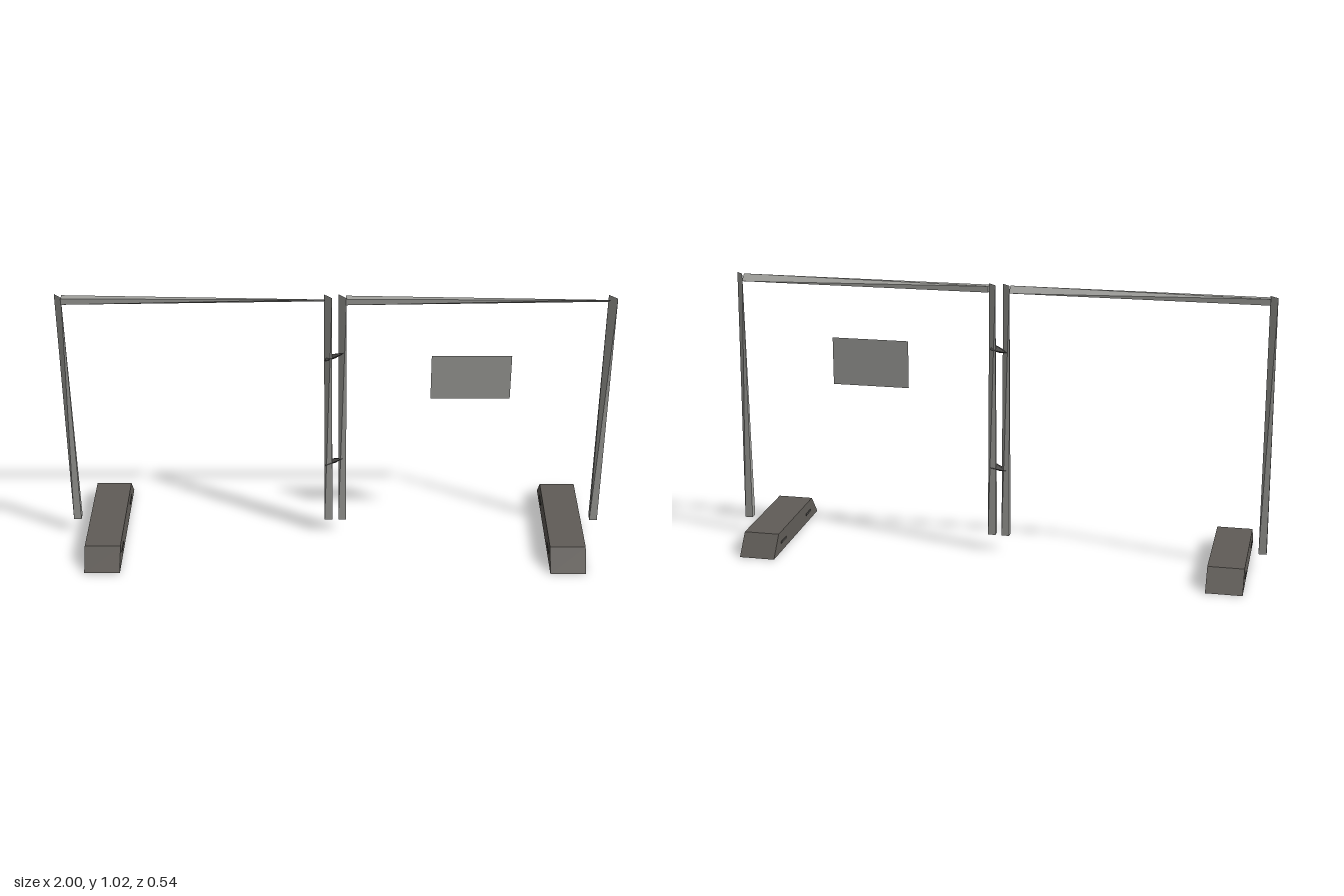
import * as THREE from 'three';
import { ConvexGeometry } from 'three/addons/geometries/ConvexGeometry.js';

export function createModel() {
  const model = new THREE.Group();
  const material = (name, color, side = THREE.FrontSide) => {
    const m = new THREE.MeshStandardMaterial({ color, side });
    m.name = name;
    return m;
  };
  const steel = material('galvanised steel', 0xa2a29e);
  const sheet = material('sign grey', 0xa0a09c, THREE.DoubleSide);
  const concrete = material('dark concrete', 0x605c57);
  const iron = material('dark iron', 0x4c4b49);

  const add = (name, geometry, mat, x = 0, y = 0, z = 0) => {
    const mesh = new THREE.Mesh(geometry, mat);
    mesh.name = name;
    mesh.position.set(x, y, z);
    model.add(mesh);
    return mesh;
  };
  const hull = (points) => new ConvexGeometry(points.map((p) => new THREE.Vector3(...p)));

  const s = 0.0145; // half thickness of the frame tubes
  const low = 0.063, top = 1.024;

  // Posts: square at the bottom, narrowing to a diagonal edge at the top
  const postGeometry = hull([
    [-s, low, -s], [s, low, -s], [s, low, s], [-s, low, s],
    [-s, top, -s], [s, top, s],
  ]);
  // Rails: square at one end, narrowing to a diagonal edge at the other
  const railLow = 0.996, railTop = 1.019, half = 0.468;
  const railGeometry = hull([
    [-half, railLow, -s], [-half, railTop, -s], [-half, railTop, s], [-half, railLow, s],
    [half, railTop, s], [half, railLow, -s],
  ]);

  for (const [side, sign] of [['right', -1], ['left', 1]]) {
    add(`${side}OuterPost`, postGeometry, steel, sign * 0.9855);
    add(`${side}InnerPost`, postGeometry, steel, sign * 0.026);
    add(`${side}TopRail`, railGeometry, steel, sign * 0.506);

    // Foot block: trapezoid profile extruded across its width
    const profile = new THREE.Shape([
      new THREE.Vector2(-0.272, 0), new THREE.Vector2(0.272, 0),
      new THREE.Vector2(0.207, 0.077), new THREE.Vector2(-0.207, 0.077),
    ]);
    const foot = new THREE.ExtrudeGeometry(profile, { depth: 0.133, bevelEnabled: false });
    foot.translate(0, 0, -0.0665).rotateY(Math.PI / 2);
    add(`${side}Foot`, foot, concrete, sign * 0.868);

    // Grip slots on both faces of the foot
    for (const dx of [-1, 1]) for (const z of [-0.155, 0.155]) {
      add(`${side}GripSlot`, new THREE.BoxGeometry(0.003, 0.008, 0.06), iron,
        sign * 0.868 + dx * 0.067, 0.035, z);
    }
  }

  // Couplers joining the two inner posts
  const coupler = hull([
    [-0.038, -0.017, s + 0.002], [-0.03, -0.008, -s - 0.002],
    [0.03, 0.017, s + 0.002], [0.03, 0, -s - 0.002], [0, -0.014, 0],
  ]);
  for (const y of [0.783, 0.328]) add('coupler', coupler, iron, 0, y, 0);

  // Sign sheet on the left panel
  add('signSheet', new THREE.PlaneGeometry(0.29, 0.18), sheet, 0.493, 0.7, 0.0165);

  return model;
}
